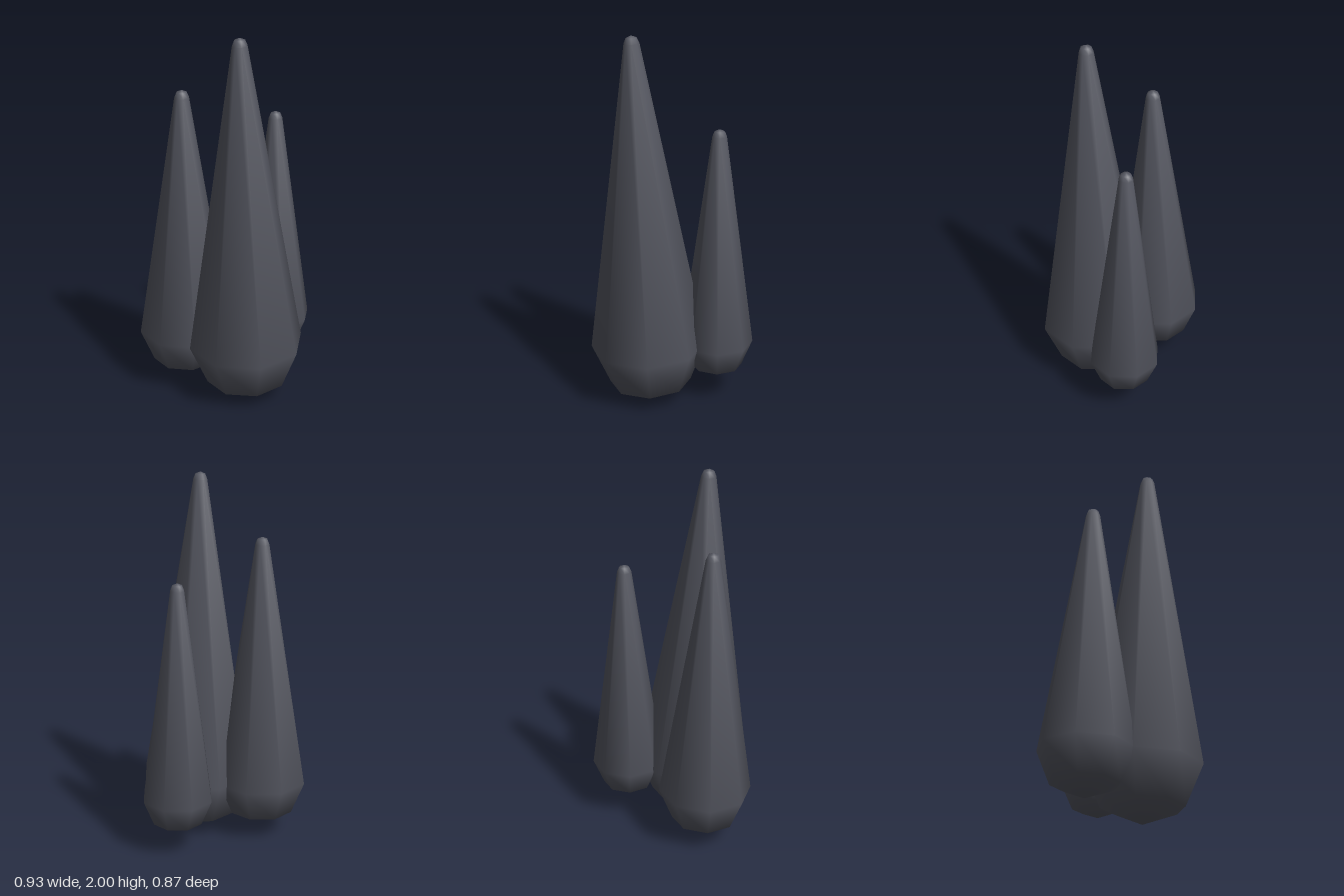
import * as THREE from 'three';

const SIDES = 8;

// Eight-sided spire: half-round base, long straight taper, small half-round tip
function spireGeometry(length, baseR, tipR) {
  const profile = [];
  for (let i = 0; i <= 2; i++) {
    const a = (i * Math.PI) / 4;
    profile.push(new THREE.Vector2(baseR * Math.sin(a), baseR * (1 - Math.cos(a))));
  }
  for (let i = 0; i <= 2; i++) {
    const a = (i * Math.PI) / 4;
    profile.push(new THREE.Vector2(tipR * Math.cos(a), length - tipR * (1 - Math.sin(a))));
  }
  profile[0].x = profile[5].x = 0;
  const geometry = new THREE.LatheGeometry(profile, SIDES);

  // Smooth normals: evenly average the two profile segments at each ring
  const segment = profile.slice(1).map((p, i) =>
    new THREE.Vector2(p.y - profile[i].y, profile[i].x - p.x).normalize());
  const rings = profile.map((p, j) => {
    if (j === 0) return new THREE.Vector2(0, -1);
    if (j === profile.length - 1) return new THREE.Vector2(0, 1);
    return segment[j - 1].clone().add(segment[j]).normalize();
  });
  const normal = geometry.attributes.normal;
  for (let k = 0; k < normal.count; k++) {
    const n = rings[k % profile.length];
    const phi = (Math.floor(k / profile.length) / SIDES) * Math.PI * 2;
    normal.setXYZ(k, n.x * Math.sin(phi), n.y, n.x * Math.cos(phi));
  }
  return geometry;
}

export function createModel() {
  const group = new THREE.Group();
  group.name = 'spireCluster';
  const stone = new THREE.MeshStandardMaterial({ color: 0x555761 });
  stone.name = 'slateGrey';

  // Each spire leans slightly from its bottom point to its tip
  const spires = [
    { name: 'tallSpire', bottom: [0.155, 0.003, 0.111], tip: [0.157, 2, 0.202], baseR: 0.31, tipR: 0.04 },
    { name: 'middleSpire', bottom: [-0.219, 0.063, 0.148], tip: [-0.198, 1.68, 0.184], baseR: 0.251, tipR: 0.039 },
    { name: 'shortSpire', bottom: [0.126, 0.122, -0.243], tip: [0.114, 1.505, -0.246], baseR: 0.195, tipR: 0.038 },
  ];
  for (const s of spires) {
    const bottom = new THREE.Vector3(...s.bottom);
    const axis = new THREE.Vector3(...s.tip).sub(bottom);
    const mesh = new THREE.Mesh(spireGeometry(axis.length(), s.baseR, s.tipR), stone);
    mesh.name = s.name;
    mesh.position.copy(bottom);
    mesh.quaternion.setFromUnitVectors(new THREE.Vector3(0, 1, 0), axis.normalize());
    group.add(mesh);
  }
  return group;
}
